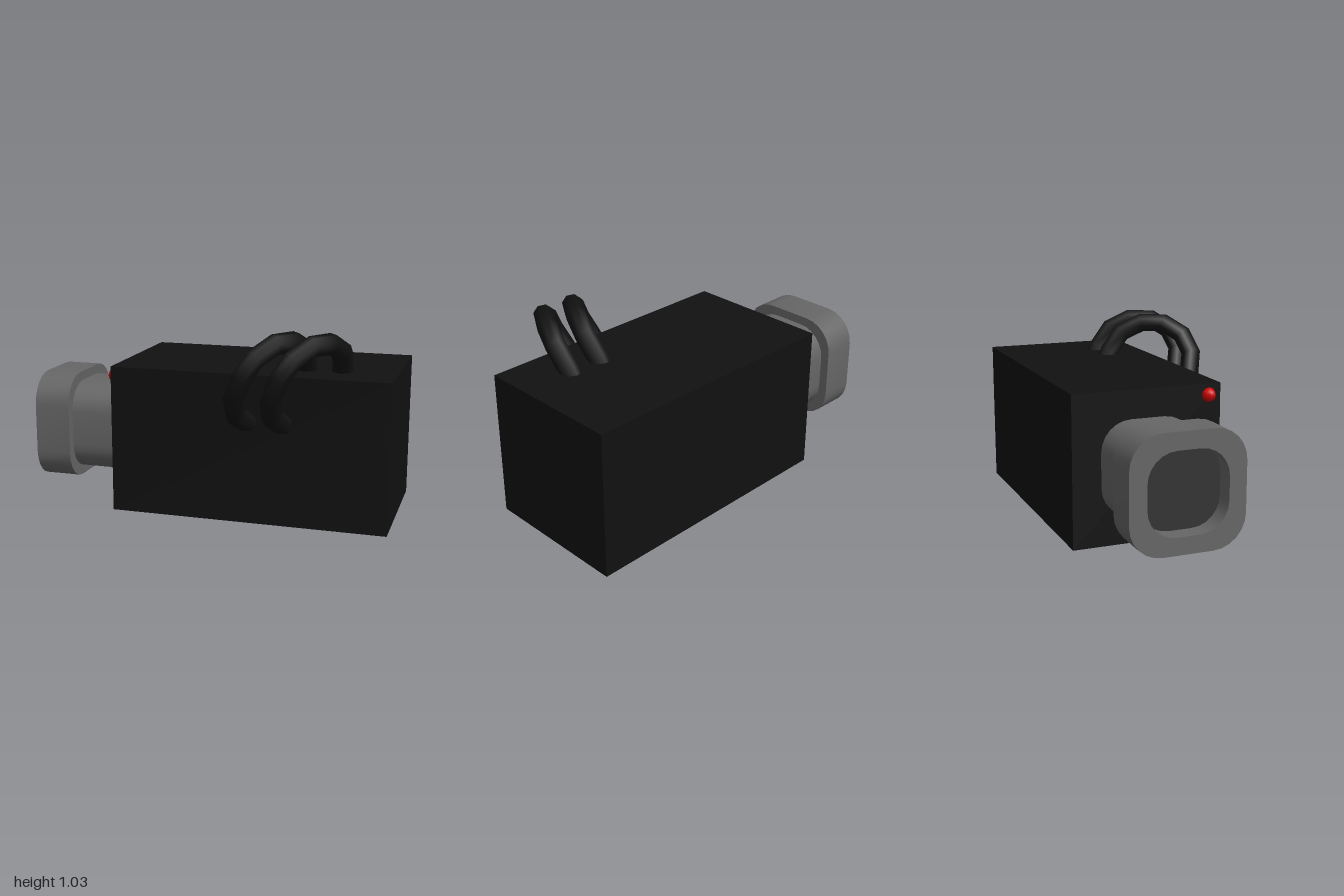
import * as THREE from 'three';
import { toCreasedNormals } from 'three/addons/utils/BufferGeometryUtils.js';

const mat = (color) => new THREE.MeshStandardMaterial({ color });

// Square outline with rounded corners, centred on the origin
function roundedSquare(size, r, Type = THREE.Shape) {
  const h = size / 2, p = new Type();
  p.moveTo(h, -h + r);
  p.lineTo(h, h - r).absarc(h - r, h - r, r, 0, Math.PI / 2);
  p.lineTo(-h + r, h).absarc(-h + r, h - r, r, Math.PI / 2, Math.PI);
  p.lineTo(-h, -h + r).absarc(-h + r, -h + r, r, Math.PI, Math.PI * 1.5);
  p.lineTo(h - r, -h).absarc(h - r, -h + r, r, Math.PI * 1.5, Math.PI * 2);
  return p;
}

export function createModel() {
  const group = new THREE.Group();
  const black = mat(0x111111), grey = mat(0x666666), darkGlass = mat(0x333333), red = mat(0xcc0000);

  function add(name, geometry, material, x, y, z) {
    const mesh = new THREE.Mesh(geometry, material);
    mesh.name = name;
    mesh.position.set(x, y, z);
    group.add(mesh);
    return mesh;
  }

  // Main housing
  add('body', new THREE.BoxGeometry(1.5, 0.8, 0.805), black, 0.25, 0.4, -0.1255);

  // Lens parts run along -x from their base
  const lensY = 0.4, lensZ = -0.125;
  function lensPart(name, shape, fromX, depth) {
    const geo = new THREE.ExtrudeGeometry(shape, { depth, bevelEnabled: false, curveSegments: 3 });
    geo.rotateY(-Math.PI / 2);
    add(name, toCreasedNormals(geo, 0.7), grey, fromX, lensY, lensZ);
  }
  lensPart('lensBarrel', roundedSquare(0.5, 0.16), -0.48, 0.32);
  const hood = roundedSquare(0.6, 0.17);
  hood.holes.push(roundedSquare(0.42, 0.15, THREE.Path));
  lensPart('lensHood', hood, -0.8, 0.2);

  // Glass recessed in the hood
  const glass = new THREE.ShapeGeometry(roundedSquare(0.43, 0.15), 3).rotateY(-Math.PI / 2);
  add('lensGlass', glass, darkGlass, -0.9, lensY, lensZ);

  // Recording light on the front corner
  add('recordLight', new THREE.SphereGeometry(0.038, 8, 6), red, -0.5, 0.741, 0.212);

  // Two slanted cable loops, from the top to the side of the housing
  const path = [
    [0.69, 0.70, 0.0], [0.71, 0.81, 0.05], [0.72, 0.92, 0.135], [0.68, 0.978, 0.248],
    [0.61, 0.978, 0.358], [0.53, 0.918, 0.44], [0.47, 0.818, 0.472], [0.42, 0.705, 0.44],
    [0.41, 0.60, 0.358], [0.44, 0.555, 0.28], [0.47, 0.54, 0.2],
  ].map((p) => new THREE.Vector3(...p));
  const curve = new THREE.CatmullRomCurve3(path);
  curve.getUtoTmapping = (u) => u; // rings sit exactly on the path points
  const loop = new THREE.TubeGeometry(curve, path.length - 1, 0.055, 8);
  add('rightCableLoop', loop, black, -0.19, 0, 0);
  add('leftCableLoop', loop, black, 0, 0, 0);

  return group;
}
